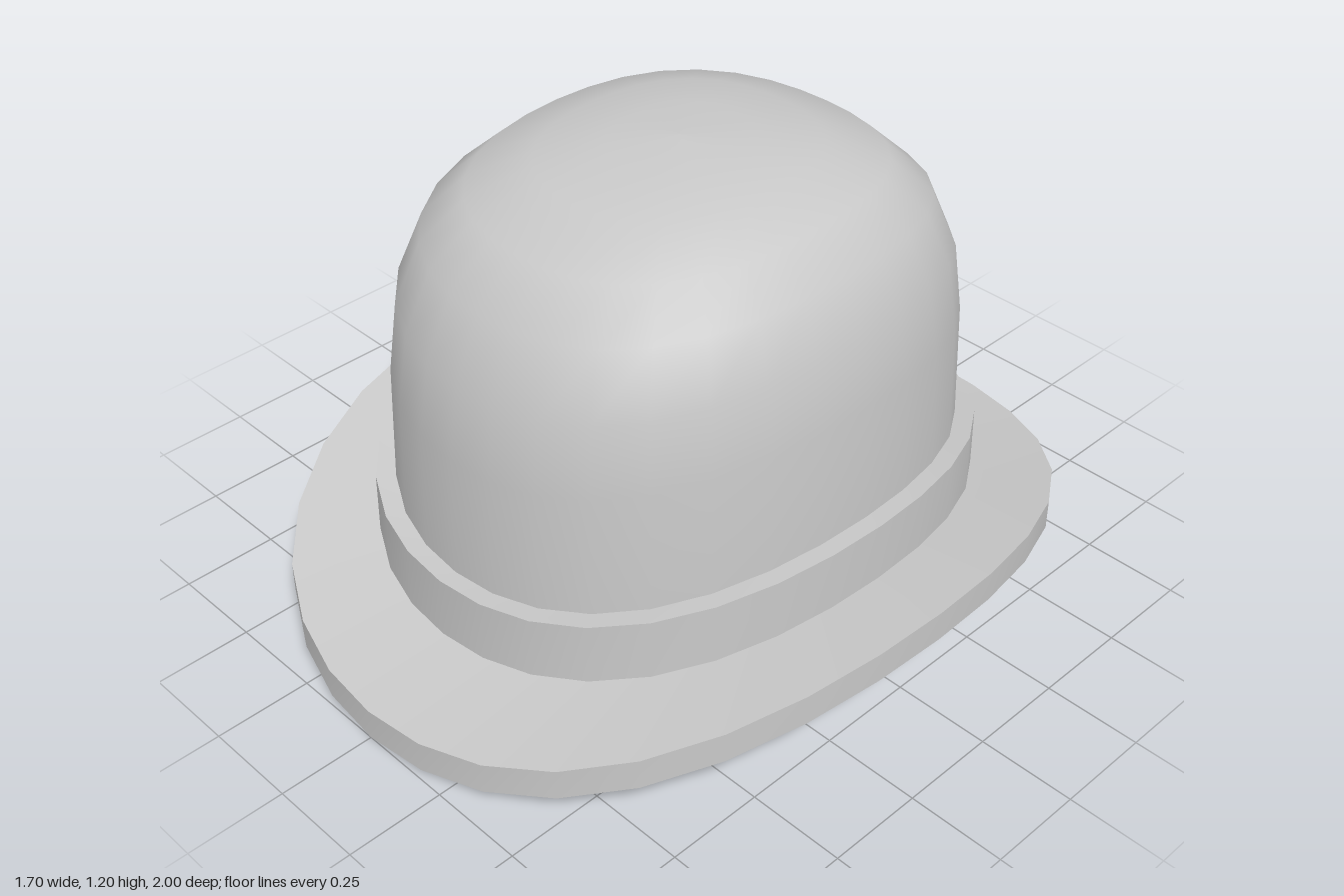
import * as THREE from 'three';
import { mergeGeometries } from 'three/addons/utils/BufferGeometryUtils.js';

const SIDES = 32;

// Smooth strip through slightly squared ovals that bend down towards front and back:
// [half width, half depth, y at the sides, y at front and back, squareness]
function strip(rings) {
  const pos = [], index = [];
  for (const [rx, rz, ySide, yFront, square = 0.033] of rings) {
    for (let j = 0; j < SIDES; j++) {
      const a = (j / SIDES) * Math.PI * 2;
      const bulge = 1 + square * Math.sin(2 * a) ** 2;
      const s = Math.sin(a) * bulge, c = Math.cos(a) * bulge;
      pos.push(rx * s, ySide - (ySide - yFront) * c * c, rz * c);
    }
  }
  for (let i = 0; i < rings.length - 1; i++) {
    for (let j = 0; j < SIDES; j++) {
      const k = (j + 1) % SIDES;
      const a = i * SIDES + j, b = i * SIDES + k;
      index.push(a, b, b + SIDES, a, b + SIDES, a + SIDES);
    }
  }
  const g = new THREE.BufferGeometry();
  g.setAttribute('position', new THREE.Float32BufferAttribute(pos, 3));
  g.setIndex(index);
  g.computeVertexNormals();
  return g;
}

// One strip per side of the cross-section, so its corners stay sharp
function sharpLoop(corners) {
  return mergeGeometries(corners.map((c, i) => strip([c, corners[(i + 1) % corners.length]])));
}

export function createModel() {
  const felt = new THREE.MeshStandardMaterial({ color: 0xc8c8c8 });
  felt.name = 'greyFelt';
  const hat = new THREE.Group();
  hat.name = 'bowlerHat';
  const add = (name, geometry) => {
    const mesh = new THREE.Mesh(geometry, felt);
    mesh.name = name;
    hat.add(mesh);
  };

  // Domed crown, squarer towards the top
  const dome = [
    [0.615, 0.725, 0.2, 0.1],
    [0.612, 0.722, 0.44, 0.335],
    [0.602, 0.711, 0.75, 0.65],
    [0.572, 0.681, 0.92, 0.835, 0.045],
    [0.513, 0.61, 1.05, 0.995, 0.055],
    [0.42, 0.5, 1.13, 1.1, 0.06],
    [0.29, 0.34, 1.175, 1.163, 0.06],
    [0.15, 0.18, 1.194, 1.19, 0.06],
    [0, 0, 1.2, 1.2],
  ];
  add('crown', strip(dome));

  // Hollow inside of the crown, running down to the brim opening
  const lining = dome.slice(2).reverse().map(([rx, rz, ys, yf, sq]) =>
    [rx * 0.98, rz * 0.98, ys - 0.012, yf - 0.012, sq]);
  lining.push([0.573, 0.677, 0.175, 0.065]);
  add('crownInside', strip(lining));

  // Brim curling up at the sides
  add('brim', sharpLoop([
    [0.85, 1, 0.22, 0],
    [0.85, 1, 0.3, 0.083],
    [0.573, 0.677, 0.253, 0.148],
    [0.573, 0.677, 0.175, 0.065],
  ]));

  // Ribbon band around the crown, its underside sloping slightly inwards
  add('hatBand', sharpLoop([
    [0.662, 0.771, 0.29, 0.176],
    [0.66, 0.769, 0.445, 0.337],
    [0.595, 0.705, 0.44, 0.335],
    [0.6, 0.71, 0.276, 0.172],
  ]));

  return hat;
}
